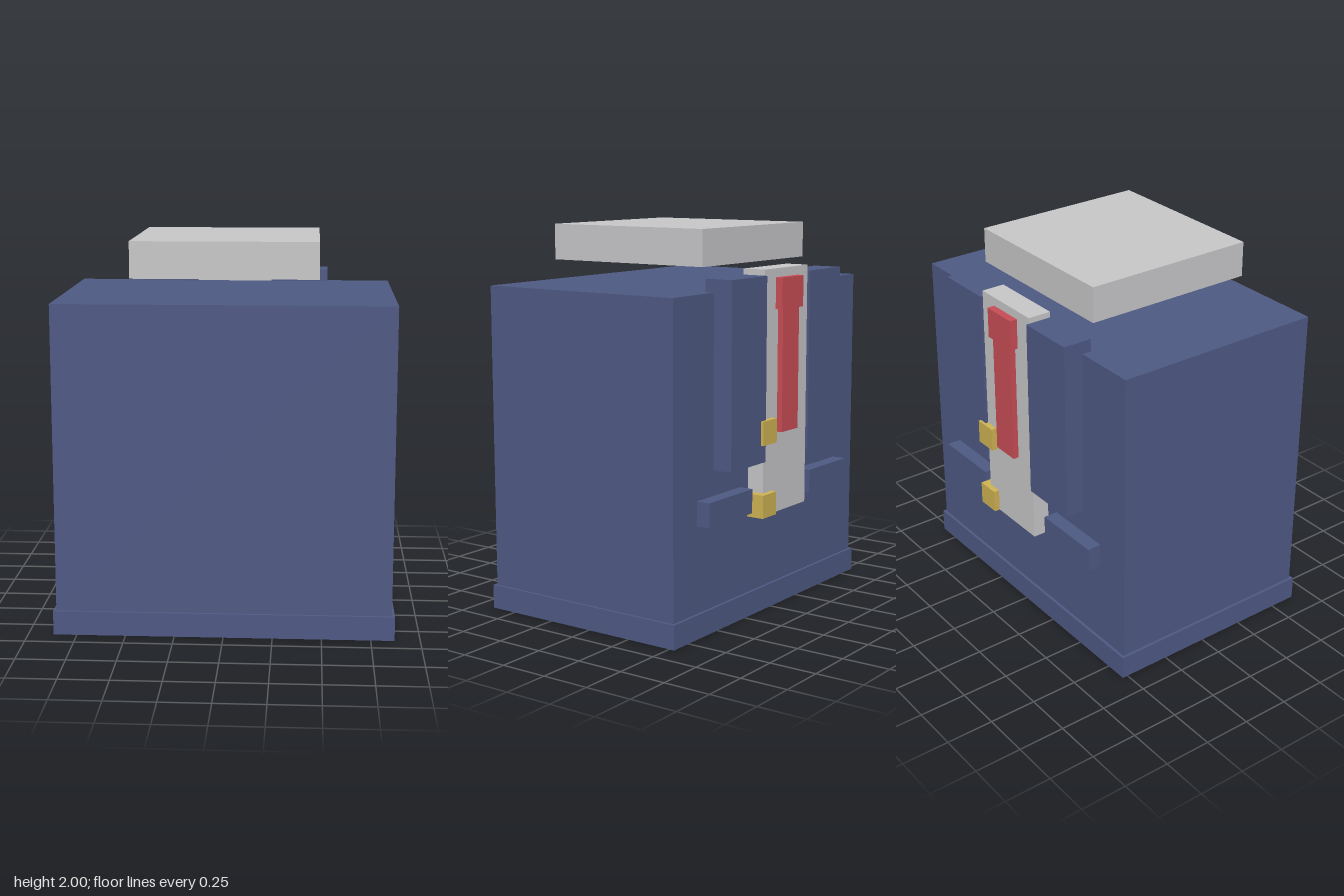
import * as THREE from 'three';

const material = (name, color) => {
  const m = new THREE.MeshStandardMaterial({ color });
  m.name = name;
  return m;
};

export function createModel() {
  const blue = material('slate blue', 0x4e5983);
  const grey = material('light grey', 0xc6c6c8);
  const red = material('red', 0xc84d55);
  const gold = material('gold', 0xceb253);

  const model = new THREE.Group();
  model.name = 'suitedTorso';

  // Box given by its extents along each axis
  const box = (name, mat, [x0, x1], [y0, y1], [z0, z1]) => {
    const mesh = new THREE.Mesh(new THREE.BoxGeometry(x1 - x0, y1 - y0, z1 - z0), mat);
    mesh.position.set((x0 + x1) / 2, (y0 + y1) / 2, (z0 + z1) / 2);
    mesh.name = name;
    model.add(mesh);
  };

  // Jacket body and its hem
  box('hem', blue, [-0.87, 0.87], [0, 0.125], [-0.53, 0.645]);
  box('body', blue, [-0.855, 0.855], [0.125, 1.7], [-0.515, 0.63]);

  // Floating neck block
  box('neck', grey, [-0.47, 0.47], [1.815, 2], [-0.415, 0.525]);

  // Shirt panel and tie
  box('shirt', grey, [-0.205, 0.205], [0.54, 1.795], [-0.605, -0.48]);
  box('tieKnot', red, [-0.1, 0.1], [1.59, 1.75], [-0.645, -0.6]);
  box('tieBlade', red, [-0.077, 0.077], [0.96, 1.59], [-0.635, -0.6]);

  // Lapels and pockets on both sides
  for (const [side, s] of [['left', 1], ['right', -1]]) {
    const span = (a, b) => (s > 0 ? [a, b] : [-b, -a]);
    box(side + 'Lapel', blue, span(0.205, 0.518), [0.825, 1.765], [-0.62, -0.465]);
    box(side + 'Pocket', blue, span(0.28, 0.66), [0.57, 0.695], [-0.59, -0.5]);
  }

  // Buttons
  box('upperButton', gold, [0.125, 0.25], [0.915, 1.04], [-0.635, -0.54]);
  box('lowerButton', gold, [0.125, 0.25], [0.54, 0.66], [-0.635, -0.54]);

  return model;
}
